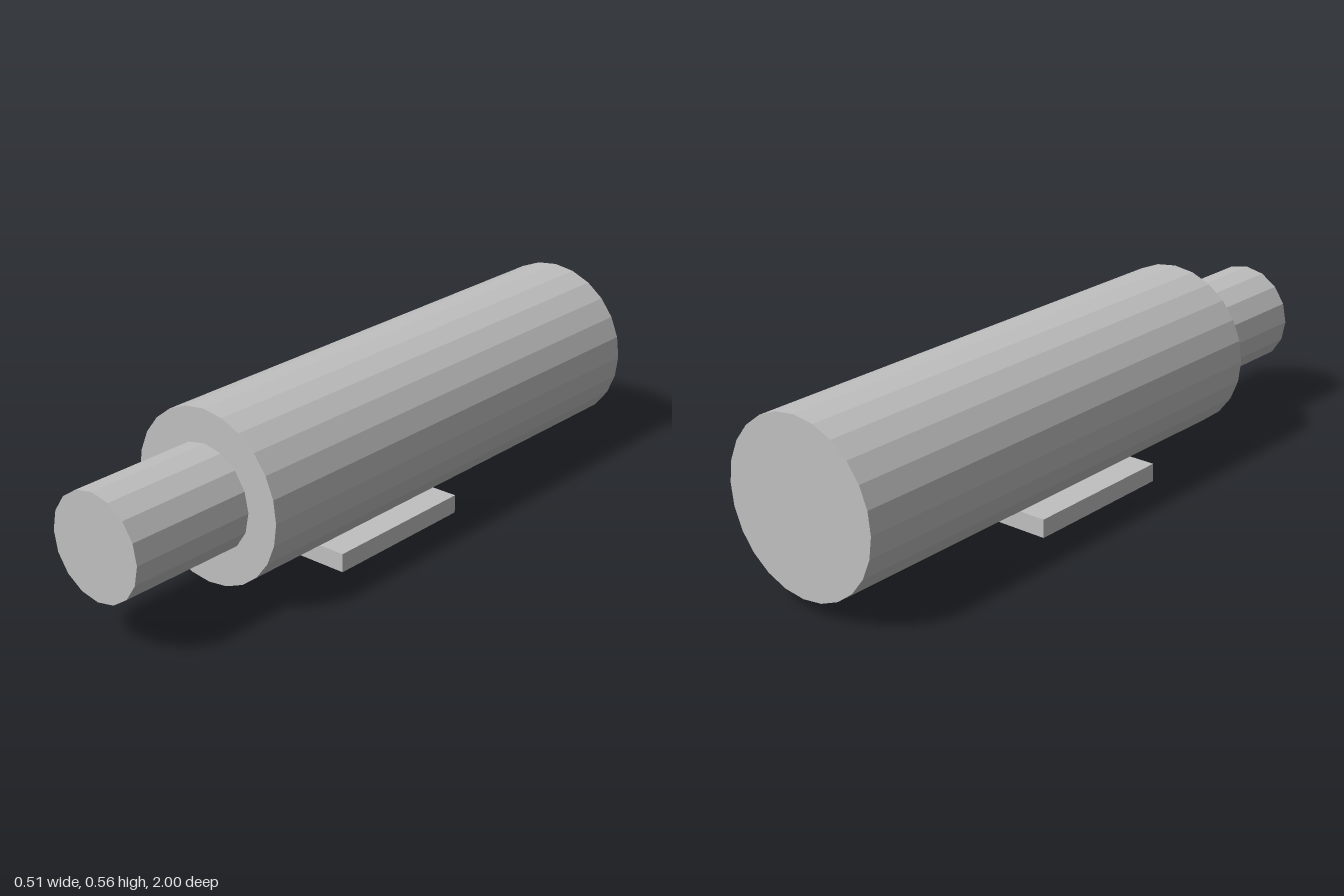
import * as THREE from 'three';

export function createModel() {
  const model = new THREE.Group();
  const grey = new THREE.MeshStandardMaterial({ color: 0xc0c0c0, flatShading: true });
  grey.name = 'light grey';
  const axisY = 0.301;

  // Faceted cylinder lying along z, from zBack to zFront
  const addCylinder = (name, radius, sides, zBack, zFront) => {
    const geometry = new THREE.CylinderGeometry(radius, radius, zFront - zBack, sides);
    geometry.rotateX(Math.PI / 2);
    const mesh = new THREE.Mesh(geometry, grey);
    mesh.name = name;
    mesh.position.set(0, axisY, (zBack + zFront) / 2);
    model.add(mesh);
  };

  addCylinder('mainBody', 0.257, 24, -1, 0.6);
  addCylinder('frontTube', 0.157, 16, 0.6, 1);

  // Flat mounting plate under the body
  const plate = new THREE.Mesh(new THREE.BoxGeometry(0.37, 0.057, 0.512), grey);
  plate.name = 'mountingPlate';
  plate.position.y = 0.0285;
  model.add(plate);

  return model;
}
